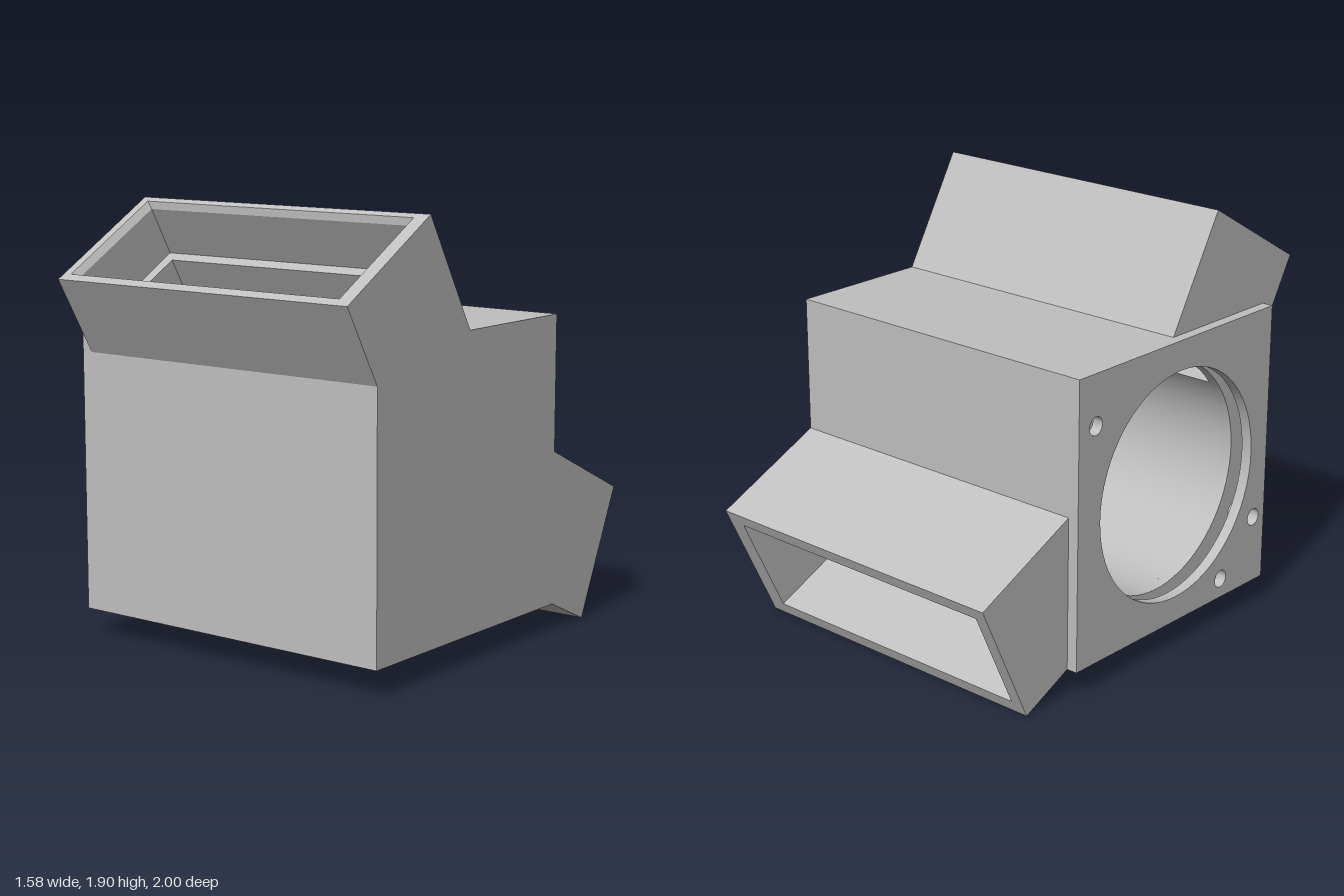
import * as THREE from 'three';
import { toCreasedNormals } from 'three/addons/utils/BufferGeometryUtils.js';

// Sections are drawn in the side plane as (-z, y) and extruded along x.
const BORE = { x: -0.175, y: 0.757, r: 0.52 };
const COS30 = Math.cos(Math.PI / 6), SIN25 = Math.sin(Math.PI * 25 / 180), COS25 = Math.cos(Math.PI * 25 / 180);
const RIM = 0.03;

// Points on the top duct (s across the mouth, d inward) and the back duct
const top = (s, d) => [-0.46 - COS30 * s + 0.5 * d, 1.9 - 0.5 * s - COS30 * d];
const back = (t, e) => [1 - SIN25 * t - COS25 * e, 0.565 - COS25 * t + SIN25 * e];

// Angle on the bore where a duct wall meets it
function boreAngle(duct, offset) {
  const [px, py] = duct(offset, 0), [qx, qy] = duct(offset, 1);
  const dx = qx - px, dy = qy - py, ox = px - BORE.x, oy = py - BORE.y;
  const b = ox * dx + oy * dy;
  const k = -b - Math.sqrt(b * b - (ox * ox + oy * oy - BORE.r * BORE.r));
  return Math.atan2(oy + k * dy, ox + k * dx);
}

// Shape from points; an entry { from, to } is an arc of the bore
function section(entries) {
  const shape = new THREE.Shape();
  entries.forEach((p, i) => {
    if (!Array.isArray(p)) shape.absarc(BORE.x, BORE.y, BORE.r, p.from, p.to, false);
    else if (i === 0) shape.moveTo(...p);
    else shape.lineTo(...p);
  });
  return shape;
}

function addHole(shape, x, y, r) {
  const hole = new THREE.Path();
  hole.absarc(x, y, r, 0, Math.PI * 2, true);
  shape.holes.push(hole);
}

function addFanHoles(shape) {
  addHole(shape, BORE.x, BORE.y, BORE.r);
  for (const [x, y] of [[0.38, 1.185], [-0.73, 0.435], [-0.5, 0.21]]) addHole(shape, x, y, 0.04);
  return shape;
}

export function createModel() {
  const group = new THREE.Group();
  const grey = new THREE.MeshStandardMaterial({ color: 0xbfbfbf });
  grey.name = 'grey plastic';

  function slab(name, shapes, x0, x1) {
    let geo = new THREE.ExtrudeGeometry(shapes, { depth: x1 - x0, bevelEnabled: false, curveSegments: 32 });
    geo.rotateY(Math.PI / 2).translate(x0, 0, 0);
    geo = toCreasedNormals(geo, 0.4);
    const mesh = new THREE.Mesh(geo, grey);
    mesh.name = name;
    group.add(mesh);
  }

  // Shared runs of the outer profile
  const backRun = [top(0, RIM), [-0.177, 1.41], [0.485, 1.41], [0.485, 0.805], back(0, 0)];
  const frontRun = [back(0.62, 0), [0.485, 0.12], [-0.81, 0.12], [-0.81, 1.258], top(0.625, RIM)];
  const a1 = boreAngle(top, 0.095), a2 = boreAngle(top, 0.52);
  const b1 = boreAngle(back, 0.06), b2 = boreAngle(back, 0.557);

  const plate = section([[-0.81, 0.12], [0.485, 0.12], [0.485, 1.41], [-0.81, 1.41]]);
  const full = () => section([...backRun, ...frontRun]);
  // Back duct open, top duct only recessed
  const recessed = section([
    ...backRun, back(0.06, 0), { from: b1, to: b2 }, back(0.557, 0), ...frontRun,
    top(0.565, RIM), top(0.565, 0.26), top(0.045, 0.26), top(0.045, RIM)]);
  // Both ducts open into the bore
  const rearPiece = section([
    ...backRun, back(0.06, 0), { from: b1, to: a1 },
    top(0.095, 0.26), top(0.045, 0.26), top(0.045, RIM)]);
  const frontPiece = section([
    top(0.565, RIM), top(0.565, 0.26), top(0.52, 0.26), { from: a2, to: b2 },
    back(0.557, 0), ...frontRun]);

  slab('fanPlate', addFanHoles(plate), -0.79, -0.74);
  slab('fanSideWall', addFanHoles(full()), -0.74, -0.68);
  slab('fanSideLedge', recessed, -0.68, -0.63);
  slab('ductHousing', [rearPiece, frontPiece], -0.63, 0.65);
  slab('closedSideLedge', recessed, 0.65, 0.7);
  slab('closedSideWall', full(), 0.7, 0.785);

  // Top mouth rim with a chamfered lead-in, lofted through rectangular loops
  const loop = (x0, x1, s0, s1, d) => [[x0, s0], [x1, s0], [x1, s1], [x0, s1]].map(([x, s]) => {
    const [u, y] = top(s, d);
    return [x, y, -u];
  });
  const loops = [
    loop(-0.74, 0.785, 0, 0.625, RIM), loop(-0.74, 0.785, 0, 0.625, 0),
    loop(-0.7, 0.72, 0.03, 0.583, 0), loop(-0.68, 0.7, 0.045, 0.565, RIM)];
  const pos = [];
  for (let i = 0; i < 3; i++) {
    for (let j = 0; j < 4; j++) {
      const k = (j + 1) % 4;
      const a = loops[i][j], b = loops[i][k], c = loops[i + 1][k], d = loops[i + 1][j];
      pos.push(...a, ...c, ...b, ...a, ...d, ...c);
    }
  }
  const rimGeo = new THREE.BufferGeometry();
  rimGeo.setAttribute('position', new THREE.Float32BufferAttribute(pos, 3));
  rimGeo.computeVertexNormals();
  const rim = new THREE.Mesh(rimGeo, grey);
  rim.name = 'topMouthRim';
  group.add(rim);

  return group;
}
